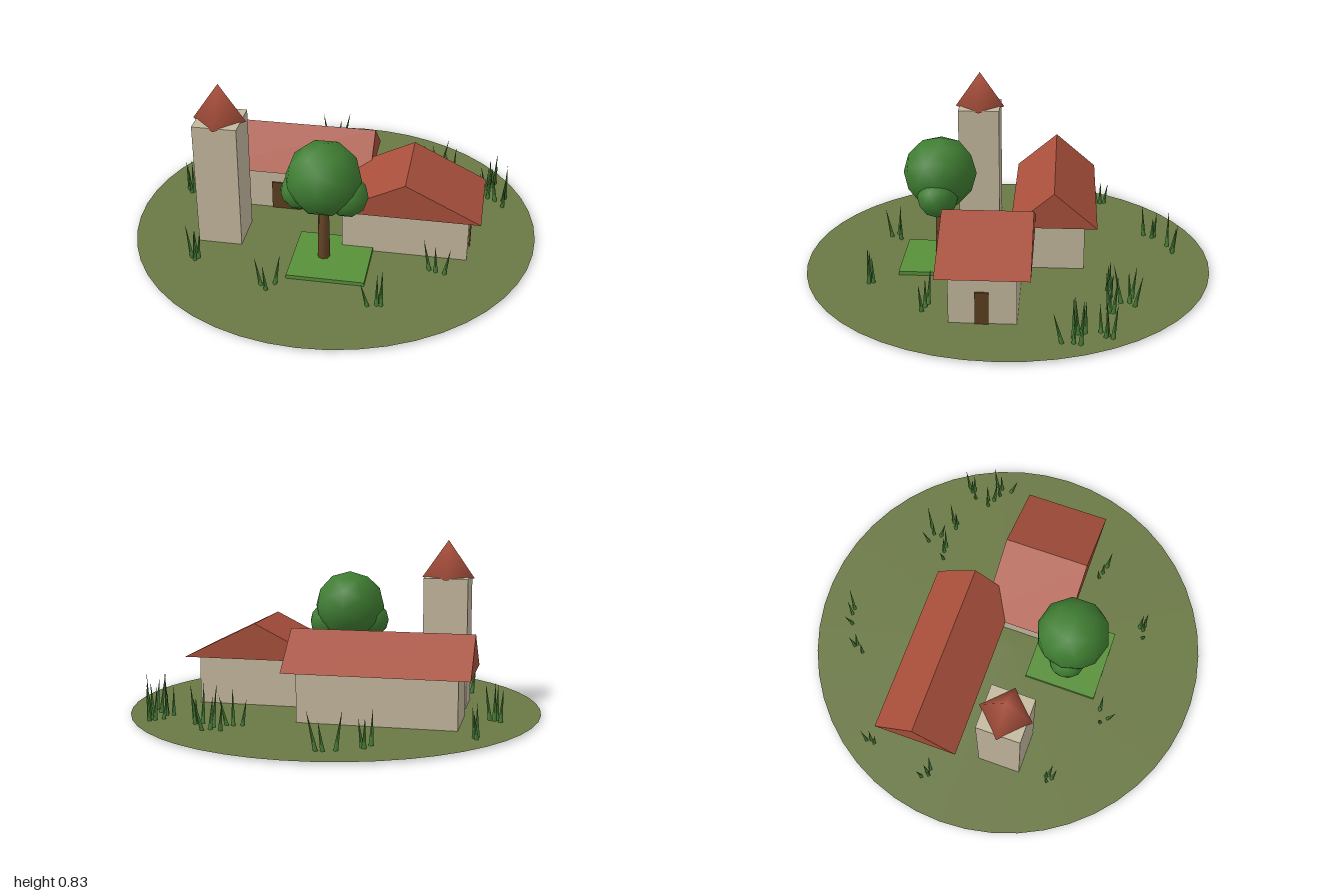
import * as THREE from 'three';
import { mergeVertices } from 'three/addons/utils/BufferGeometryUtils.js';

const BASE = 0.01;

function makeMaterial(name, color, extra = {}) {
  const m = new THREE.MeshStandardMaterial({ color, ...extra });
  m.name = name;
  return m;
}

// Shares vertices so normals blend across every edge
function softened(geometry) {
  geometry.deleteAttribute('normal');
  geometry.deleteAttribute('uv');
  const g = mergeVertices(geometry, 1e-4);
  g.computeVertexNormals();
  return g;
}

export function createModel() {
  const grassland = makeMaterial('meadow green', 0x6a7844, { side: THREE.DoubleSide });
  const plaster = makeMaterial('plaster', 0xc4b89e);
  const tile = makeMaterial('red tile', 0xa84f3b);
  const wood = makeMaterial('door brown', 0x5c3f1f);
  const bark = makeMaterial('bark brown', 0x654526);
  const leaf = makeMaterial('leaf green', 0x3f7d32);
  const lawn = makeMaterial('lawn green', 0x589039);
  const blade = makeMaterial('blade green', 0x4a8239);

  const root = new THREE.Group();
  root.name = 'farmstead';

  function add(parent, name, geometry, material, x, y, z) {
    const mesh = new THREE.Mesh(geometry, material);
    mesh.name = name;
    mesh.position.set(x, y, z);
    parent.add(mesh);
    return mesh;
  }

  // Box given by its min and max corners
  function block(parent, name, material, x0, x1, y0, y1, z0, z1) {
    return add(parent, name, new THREE.BoxGeometry(x1 - x0, y1 - y0, z1 - z0), material,
      (x0 + x1) / 2, (y0 + y1) / 2, (z0 + z1) / 2);
  }

  // Gabled roof prism with its ridge along z
  function roofPrism(width, length, rise) {
    const s = new THREE.Shape();
    s.moveTo(-width / 2, 0);
    s.lineTo(width / 2, 0);
    s.lineTo(0, rise);
    s.closePath();
    return new THREE.ExtrudeGeometry(s, { depth: length, bevelEnabled: false })
      .translate(0, 0, -length / 2);
  }

  // Ground disc
  const ground = add(root, 'ground', new THREE.CircleGeometry(1, 48), grassland, 0, BASE + 0.002, 0);
  ground.rotation.x = -Math.PI / 2;

  // Long hall, ridge along x
  const longHall = new THREE.Group();
  longHall.name = 'longHall';
  block(longHall, 'longHallWalls', plaster, -0.645, 0.105, BASE, 0.252, -0.38, -0.08);
  const longRoof = add(longHall, 'longHallRoof', roofPrism(0.42, 0.87, 0.178), tile, -0.27, 0.252, -0.23);
  longRoof.rotation.y = Math.PI / 2;
  block(longHall, 'longHallDoor', wood, -0.345, -0.195, BASE, 0.163, -0.09, -0.073);
  root.add(longHall);

  // Side wing, ridge along z
  const wing = new THREE.Group();
  wing.name = 'sideWing';
  block(wing, 'wingWalls', plaster, 0.07, 0.678, BASE, 0.252, -0.078, 0.23);
  add(wing, 'wingRoof', roofPrism(0.72, 0.425, 0.178), tile, 0.375, 0.252, 0.072);
  block(wing, 'wingDoor', wood, 0.665, 0.686, BASE, 0.168, 0.048, 0.11);
  root.add(wing);

  // Tower with four-sided spire set diagonally
  const tower = new THREE.Group();
  tower.name = 'tower';
  block(tower, 'towerWalls', plaster, -0.635, -0.42, BASE, 0.648, 0.07, 0.285);
  add(tower, 'towerSpire', softened(new THREE.ConeGeometry(0.129, 0.186, 4)), tile, -0.527, 0.735, 0.178);
  root.add(tower);

  // Tree on its square lawn
  const tree = new THREE.Group();
  tree.name = 'tree';
  block(tree, 'treeLawn', lawn, -0.148, 0.223, BASE, 0.031, 0.15, 0.52);
  add(tree, 'trunk', softened(new THREE.CylinderGeometry(0.024, 0.031, 0.36, 8)), bark, 0, 0.187, 0.333);
  const crowns = [
    ['mainCrown', 0, 0.466, 0.333, 0.18],
    ['rightCrown', 0.112, 0.381, 0.335, 0.1],
    ['leftCrown', -0.112, 0.395, 0.345, 0.09],
  ];
  for (const [name, x, y, z, r] of crowns) {
    add(tree, name, softened(new THREE.IcosahedronGeometry(r, 1)), leaf, x, y, z);
  }
  root.add(tree);

  // Grass tufts: each row holds x, z pairs of one tuft
  const tufts = [
    [-0.74, -0.5, -0.73, -0.48, -0.74, -0.46],
    [-0.82, -0.17, -0.79, -0.15, -0.77, -0.14, -0.80, -0.14],
    [-0.63, 0.43, -0.61, 0.45, -0.6, 0.43, -0.61, 0.42],
    [-0.25, 0.59, -0.22, 0.62, -0.19, 0.57],
    [0.26, 0.66, 0.3, 0.65, 0.32, 0.65, 0.31, 0.63],
    [0.51, 0.34, 0.54, 0.35, 0.58, 0.36],
    [0.71, -0.37, 0.75, -0.35, 0.74, -0.38],
    [0.79, -0.33, 0.83, -0.33, 0.83, -0.28, 0.84, -0.36],
    [0.73, -0.45, 0.77, -0.47, 0.78, -0.5, 0.76, -0.48],
    [0.52, -0.49, 0.55, -0.51, 0.55, -0.49],
    [0.33, -0.49, 0.37, -0.5, 0.4, -0.5],
    [0.4, -0.6, 0.45, -0.59, 0.48, -0.61, 0.45, -0.55],
    [-0.31, -0.7, -0.29, -0.75, -0.28, -0.74],
    [-0.18, -0.81, -0.13, -0.83, -0.1, -0.83],
  ];
  let seed = 7;
  const random = () => (seed = (seed * 16807) % 2147483647) / 2147483647;
  const up = new THREE.Vector3(0, 1, 0);
  const bladeGeometry = new THREE.ConeGeometry(0.011, 1, 4).translate(0, 0.5, 0);
  tufts.forEach((row) => {
    const tuft = new THREE.Group();
    tuft.name = 'grassTuft';
    const n = row.length / 2;
    let cx = 0, cz = 0;
    for (let i = 0; i < n; i++) {
      cx += row[2 * i] / n;
      cz += row[2 * i + 1] / n;
    }
    for (let i = 0; i < n; i++) {
      const x = row[2 * i], z = row[2 * i + 1];
      const height = 0.13 + 0.08 * random();
      const lean = new THREE.Vector3((x - cx) * 0.7 + (random() - 0.5) * 0.03, height,
        (z - cz) * 0.7 + (random() - 0.5) * 0.03);
      const mesh = add(tuft, 'grassBlade', bladeGeometry, blade, x, BASE - 0.005, z);
      mesh.scale.y = lean.length();
      mesh.quaternion.setFromUnitVectors(up, lean.normalize());
    }
    root.add(tuft);
  });

  return root;
}
